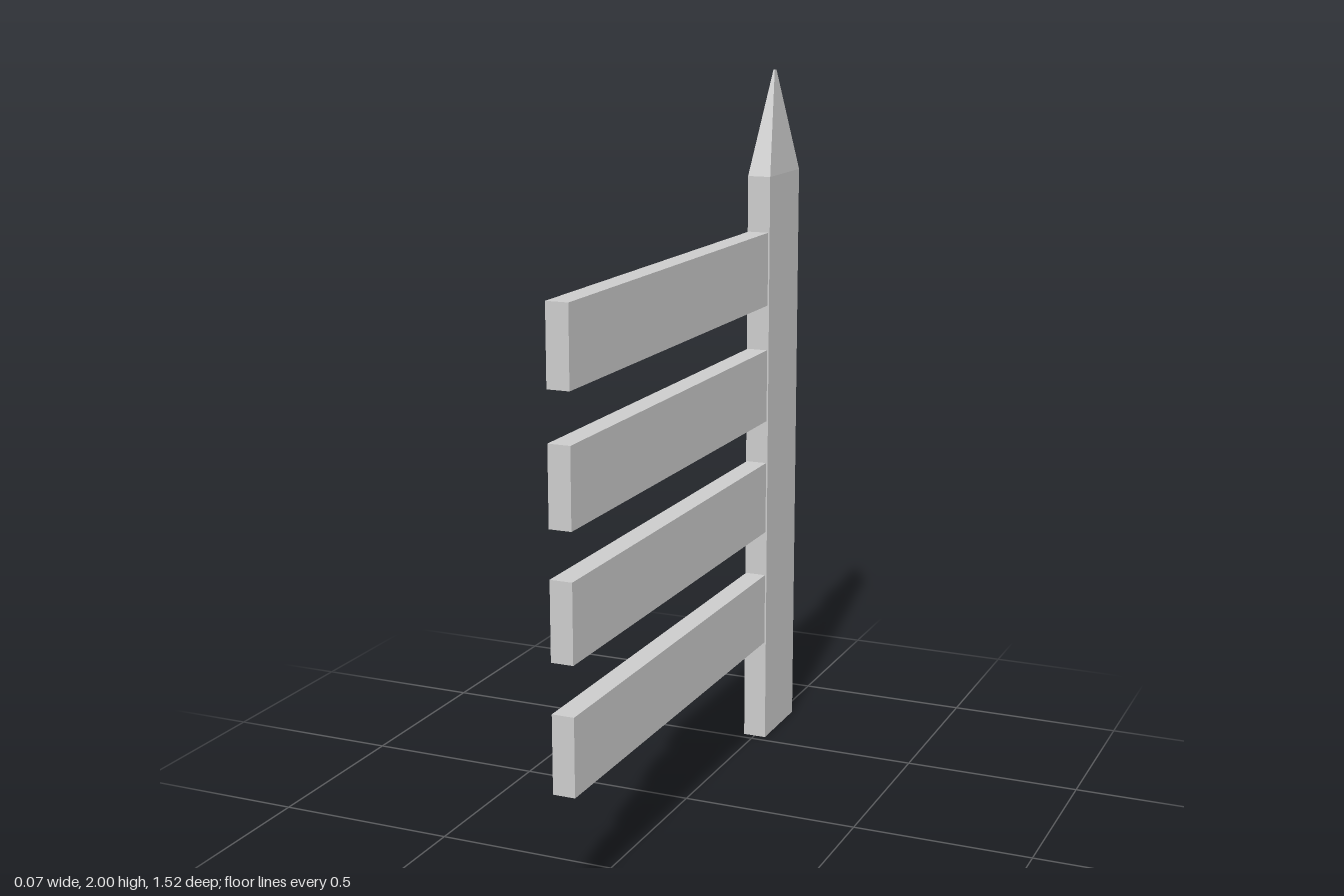
import * as THREE from 'three';

const material = new THREE.MeshStandardMaterial({ color: 0xcccccc, flatShading: true });

// Box given by its size and centre
function addBox(group, name, [w, h, d], [x, y, z]) {
  const mesh = new THREE.Mesh(new THREE.BoxGeometry(w, h, d), material);
  mesh.name = name;
  mesh.position.set(x, y, z);
  group.add(mesh);
  return mesh;
}

export function createModel() {
  const group = new THREE.Group();
  group.name = 'picketFenceSection';

  const postWidth = 0.068, postDepth = 0.236, postZ = -0.643;
  const shoulderY = 1.705, topY = 2;

  // Upright post
  addBox(group, 'post', [postWidth, shoulderY, postDepth], [0, shoulderY / 2, postZ]);

  // Pointed cap: a box whose top face shrinks almost to a point
  const tip = addBox(group, 'postTip', [postWidth, topY - shoulderY, postDepth],
    [0, (topY + shoulderY) / 2, postZ]);
  const p = tip.geometry.attributes.position;
  for (let i = 0; i < p.count; i++) {
    if (p.getY(i) > 0) {
      p.setX(i, p.getX(i) * 0.06);
      p.setZ(i, p.getZ(i) * 0.06);
    }
  }
  tip.geometry.computeVertexNormals();

  // Four rails running forward from the post
  const railBack = -0.56, railFront = 0.762;
  for (const y of [0.41, 0.756, 1.095, 1.439]) {
    addBox(group, 'rail', [0.061, 0.212, railFront - railBack],
      [-0.001, y, (railFront + railBack) / 2]);
  }

  return group;
}
